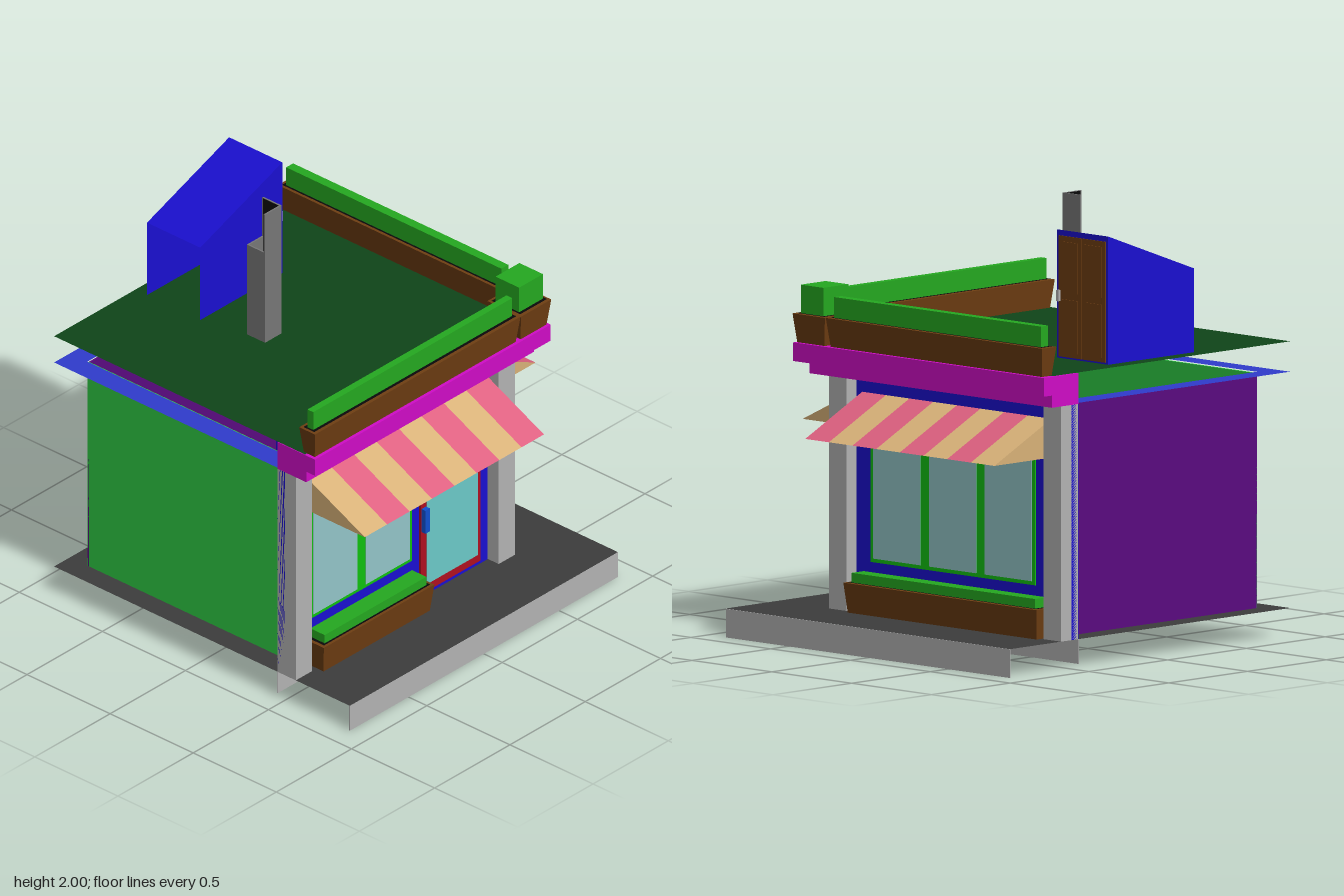
import * as THREE from 'three';

const mat = (color) => new THREE.MeshStandardMaterial({ color, flatShading: true, side: THREE.DoubleSide });
const M = {
  grey: mat(0xb3b3b3), dark: mat(0x3c3c3c), blue: mat(0x1a0fd0), rim: mat(0x2f3bcc), lawn: mat(0x2fcc45),
  purple: mat(0x5a0a80), magenta: mat(0xcf0cc6), brown: mat(0x6f3e12), leaf: mat(0x25a820), black: mat(0x0a0a0a),
  roof: mat(0x0f4519), glass: mat(0x93c5c8), doorGlass: mat(0x6ccac8), frame: mat(0x10c010), red: mat(0xb01020),
  handle: mat(0x1050d0), beige: mat(0xd8b178), pink: mat(0xde6080), flue: mat(0x777777), yellow: mat(0xb8c820),
};

function add(parent, name, geometry, material) {
  const mesh = new THREE.Mesh(geometry, material);
  mesh.name = name;
  parent.add(mesh);
  return mesh;
}

// Box given by its ranges along x, y and z
function box(parent, name, material, [x0, x1], [y0, y1], [z0, z1]) {
  const g = new THREE.BoxGeometry(x1 - x0, y1 - y0, z1 - z0);
  g.translate((x0 + x1) / 2, (y0 + y1) / 2, (z0 + z1) / 2);
  return add(parent, name, g, material);
}

// Horizontal sheet
function sheet(parent, name, material, [x0, x1], y, [z0, z1]) {
  const g = new THREE.PlaneGeometry(x1 - x0, z1 - z0).rotateX(-Math.PI / 2);
  g.translate((x0 + x1) / 2, y, (z0 + z1) / 2);
  return add(parent, name, g, material);
}

// Trough that narrows downwards, dark soil on top and a clipped hedge inside
function planter(parent, name, [x0, x1], [y0, y1], [z0, z1], hedgeTop) {
  const group = new THREE.Group();
  group.name = name;
  const trough = box(group, 'trough', M.brown, [x0, x1], [y0, y1], [z0, z1]);
  const p = trough.geometry.attributes.position;
  const cx = (x0 + x1) / 2, cz = (z0 + z1) / 2;
  for (let i = 0; i < p.count; i++) {
    if (p.getY(i) > y0 + 0.01) continue;
    p.setX(i, p.getX(i) - 0.015 * Math.sign(p.getX(i) - cx));
    p.setZ(i, p.getZ(i) - 0.015 * Math.sign(p.getZ(i) - cz));
  }
  trough.geometry.computeVertexNormals();
  sheet(group, 'soil', M.black, [x0 + 0.015, x1 - 0.015], y1 + 0.002, [z0 + 0.012, z1 - 0.012]);
  box(group, 'hedge', M.leaf, [x0 + 0.03, x1 - 0.03], [y1, hedgeTop], [z0 + 0.022, z1 - 0.022]);
  parent.add(group);
}

// Striped sloping awning, open below, projecting towards +z
function awning(parent, [a0, a1], colors) {
  const group = new THREE.Group();
  group.name = 'awning';
  const top = 1.115, low = 0.94, inner = 0.5, outer = 0.862, n = 8, w = (a1 - a0) / n;
  const rise = top - low, depth = outer - inner;
  for (let i = 0; i < n; i++) {
    const g = new THREE.PlaneGeometry(w, Math.hypot(rise, depth));
    g.rotateX(-Math.atan2(depth, rise));
    g.translate(a0 + w * (i + 0.5), (top + low) / 2, (inner + outer) / 2);
    add(group, 'stripe', g, colors[i % 2]);
  }
  const side = new THREE.Shape([[inner, low], [outer, low], [inner, top]].map(([u, v]) => new THREE.Vector2(u, v)));
  for (const a of [a0, a1]) {
    const g = new THREE.ShapeGeometry(side).rotateY(-Math.PI / 2).translate(a, 0, 0);
    add(group, 'awningEnd', g, M.beige);
  }
  parent.add(group);
}

// Window with equal panes between green bars
function shopWindow(parent, [a0, a1], panes) {
  const group = new THREE.Group();
  group.name = 'window';
  const edge = 0.018, bar = 0.055, y = [0.355, 1.06];
  box(group, 'windowFrame', M.frame, [a0, a1], y, [0.49, 0.508]);
  const w = (a1 - a0 - 2 * edge - bar * (panes - 1)) / panes;
  for (let i = 0; i < panes; i++) {
    const s = a0 + edge + i * (w + bar);
    box(group, 'pane', M.glass, [s, s + w], [0.372, 1.04], [0.495, 0.511]);
  }
  parent.add(group);
}

// Shop sides are laid out facing +z and then turned into place
function sideWithDoor() {
  const g = new THREE.Group();
  g.name = 'doorSide';
  box(g, 'shopWall', M.blue, [-0.89, 0.455], [0.13, 1.19], [0.455, 0.5]);
  shopWindow(g, [-0.73, -0.055], 2);
  box(g, 'doorFrame', M.red, [0, 0.395], [0.155, 1.06], [0.49, 0.512]);
  box(g, 'doorPane', M.doorGlass, [0.036, 0.375], [0.195, 1.04], [0.495, 0.516]);
  box(g, 'doorHandle', M.handle, [0.003, 0.033], [0.48, 0.6], [0.5, 0.535]);
  planter(g, 'windowBox', [-0.765, -0.03], [0.13, 0.265], [0.49, 0.62], 0.31);
  awning(g, [-0.76, 0.43], [M.beige, M.pink]);
  g.rotation.y = Math.PI / 2;
  return g;
}

function sideWithWindows() {
  const g = new THREE.Group();
  g.name = 'windowSide';
  box(g, 'shopWall', M.blue, [-0.455, 0.89], [0.13, 1.19], [0.455, 0.5]);
  shopWindow(g, [-0.36, 0.67], 3);
  planter(g, 'windowBox', [-0.43, 0.78], [0.122, 0.265], [0.49, 0.61], 0.31);
  awning(g, [-0.42, 0.765], [M.pink, M.beige]);
  g.rotation.y = Math.PI;
  return g;
}

// Roof access shed: open front, sloping top, panelled double door at the back
function roofShed() {
  const g = new THREE.Group();
  g.name = 'roofShed';
  const zf = 0.35, zb = -0.195, hf = 1.71, hb = 1.91, x0 = -0.82, x1 = -0.5;
  const shape = new THREE.Shape([[zf, 1.33], [zf, hf], [zb, hb], [zb, 1.33]].map(([z, y]) => new THREE.Vector2(-z, y)));
  for (const x of [x0, x1]) add(g, 'shedSide', new THREE.ShapeGeometry(shape).rotateY(Math.PI / 2).translate(x, 0, 0), M.blue);
  const top = new THREE.PlaneGeometry(x1 - x0, Math.hypot(zf - zb, hb - hf));
  top.rotateX(-Math.PI / 2 + Math.atan2(hb - hf, zf - zb)).translate((x0 + x1) / 2, (hf + hb) / 2, (zf + zb) / 2);
  add(g, 'shedTop', top, M.blue);
  const back = new THREE.PlaneGeometry(x1 - x0, hb - 1.33).translate((x0 + x1) / 2, (hb + 1.33) / 2, zb);
  add(g, 'shedBack', back, M.blue);
  for (const [l, r] of [[-0.805, -0.662], [-0.658, -0.515]]) {
    box(g, 'shedDoor', M.brown, [l, r], [1.34, 1.885], [zb - 0.006, zb + 0.006]);
    for (const y of [[1.36, 1.6], [1.63, 1.86]]) {
      box(g, 'doorPanel', M.brown, [l + 0.02, r - 0.02], y, [zb - 0.011, zb + 0.011]);
    }
  }
  box(g, 'doorKnob', M.grey, [-0.527, -0.513], [1.59, 1.64], [zb - 0.02, zb]);
  return g;
}

// Hollow square flue, cut lower on two sides
function chimney() {
  const g = new THREE.Group();
  g.name = 'chimney';
  const t = 0.008, x0 = -0.265, x1 = -0.155, z0 = 0.19, z1 = 0.3;
  box(g, 'flueWall', M.flue, [x1 - t, x1], [1.33, 2], [z0, z1]);
  box(g, 'flueWall', M.flue, [x0, x1], [1.33, 2], [z0, z0 + t]);
  box(g, 'flueWall', M.flue, [x0, x0 + t], [1.33, 1.8], [z0, z1]);
  box(g, 'flueWall', M.flue, [x0, x1], [1.33, 1.8], [z1 - t, z1]);
  box(g, 'flueLining', M.black, [x1 - t - 0.003, x1 - t], [1.33, 1.998], [z0 + t, z1 - t]);
  box(g, 'flueLining', M.black, [x0 + t, x1 - t], [1.33, 1.998], [z0 + t, z0 + t + 0.003]);
  return g;
}

export function createModel() {
  const model = new THREE.Group();
  model.name = 'cornerShop';

  // Pavement with kerbs on the two street sides, and a foundation step below
  sheet(model, 'pavement', M.dark, [-0.89, 0.89], 0.13, [-0.89, 0.89]);
  box(model, 'kerb', M.grey, [0.886, 0.89], [0, 0.129], [-0.89, 0.89]);
  box(model, 'kerb', M.grey, [-0.89, 0.89], [0, 0.129], [-0.89, -0.886]);
  box(model, 'foundation', M.grey, [0.451, 0.455], [0.018, 0.129], [-0.455, 0.89]);
  box(model, 'foundation', M.grey, [-0.89, 0.455], [0.018, 0.129], [-0.455, -0.451]);
  for (const x of [[-0.775, -0.535], [0.185, 0.425]]) {
    box(model, 'floorStrip', M.yellow, x, [0.119, 0.129], [-0.44, 0.78]);
    sheet(model, 'floorStripBase', M.dark, [x[0] + 0.006, x[1] - 0.006], 0.117, [-0.434, 0.774]);
  }

  // Plain walls, ledge and posts
  box(model, 'frontWall', M.lawn, [-0.785, 0.455], [0.13, 1.19], [0.775, 0.785]);
  box(model, 'leftWall', M.purple, [-0.785, -0.775], [0.13, 1.19], [-0.455, 0.785]);
  sheet(model, 'ledge', M.rim, [-0.89, 0.455], 1.195, [0.785, 0.89]);
  sheet(model, 'ledge', M.rim, [-0.89, -0.785], 1.195, [-0.455, 0.785]);
  for (const [x, z] of [[0.455, -0.565], [0.455, 0.782], [-0.89, -0.565]]) {
    box(model, 'post', M.grey, [x, x + 0.11], [0.13, 1.19], [z, z + 0.108]);
  }
  model.add(sideWithDoor(), sideWithWindows());

  // Stepped cornice along the two street sides
  for (const [out, y] of [[0.628, [1.19, 1.245]], [0.68, [1.245, 1.329]]]) {
    box(model, 'cornice', M.magenta, [0.455, out], y, [-out + 0.005, 0.89]);
    box(model, 'cornice', M.magenta, [-0.89, 0.455], y, [-out + 0.005, -0.455]);
  }

  // Roof with its planters, shed and chimney
  sheet(model, 'roof', M.roof, [-0.89, 0.62], 1.332, [-0.62, 0.89]);
  planter(model, 'roofPlanterBack', [-0.88, 0.475], [1.33, 1.46], [-0.675, -0.585], 1.555);
  planter(model, 'roofPlanterRight', [0.585, 0.68], [1.33, 1.46], [-0.475, 0.89], 1.555);
  planter(model, 'roofPlanterCorner', [0.48, 0.682], [1.33, 1.46], [-0.677, -0.475], 1.59);
  model.add(roofShed(), chimney());
  return model;
}
